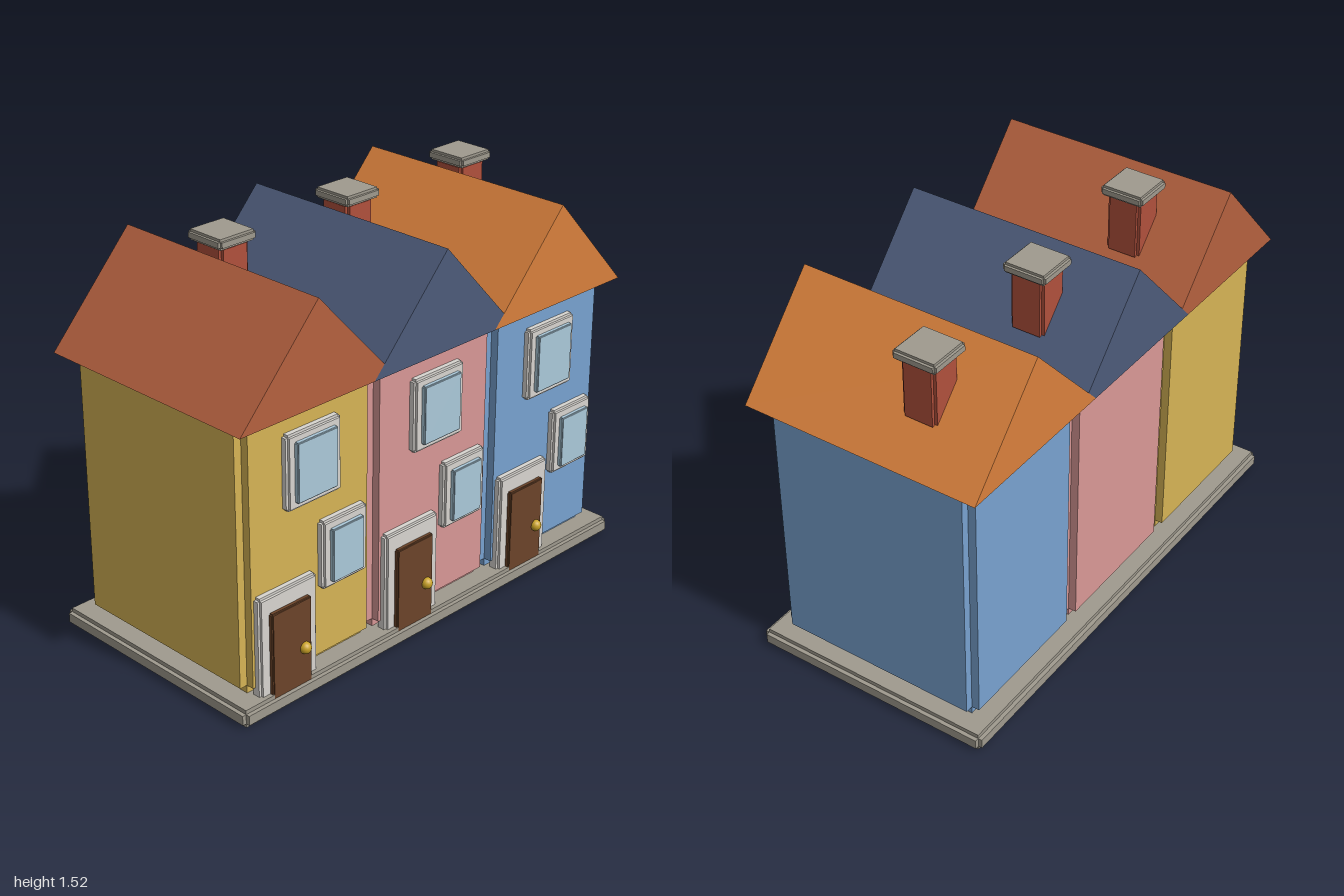
import * as THREE from 'three';
import { mergeGeometries } from 'three/addons/utils/BufferGeometryUtils.js';

const mat = (color) => new THREE.MeshStandardMaterial({ color, flatShading: true });

const stone = mat(0x9f9a8e), brick = mat(0xb0503c), trim = mat(0xd8d5d0);
const glass = mat(0xabc9da), wood = mat(0x6c4429);
const brass = new THREE.MeshStandardMaterial({ color: 0xc9a227 });

// Box with stepped edges: three crossing boxes, each full size along one axis only
function steppedBox(name, material, [x0, x1], [y0, y1], [z0, z1], r) {
  const size = [x1 - x0, y1 - y0, z1 - z0];
  const parts = [0, 1, 2].map((axis) =>
    new THREE.BoxGeometry(...size.map((s, i) => (i === axis ? s : s - 2 * r))));
  const geo = mergeGeometries(parts);
  geo.translate((x0 + x1) / 2, (y0 + y1) / 2, (z0 + z1) / 2);
  const mesh = new THREE.Mesh(geo, material);
  mesh.name = name;
  return mesh;
}

const span = (centre, half) => [centre - half, centre + half];

// Frame with a raised pane
function windowUnit(name, x, half, y, paneHalf, paneY) {
  const g = new THREE.Group();
  g.name = name;
  g.add(
    steppedBox('windowFrame', trim, span(x, half), y, [0.42, 0.461], 0.01),
    steppedBox('windowPane', glass, span(x, paneHalf), paneY, [0.43, 0.478], 0.004));
  return g;
}

function house(name, cx, wallColor, roofColor) {
  const g = new THREE.Group();
  g.name = name;

  g.add(steppedBox('walls', mat(wallColor), span(0, 0.314), [0.07, 1.12], [-0.436, 0.432], 0.032));

  // Gabled roof, ridge running front to back
  const gable = new THREE.Shape();
  gable.moveTo(-0.36, 1.117);
  gable.lineTo(0.36, 1.117);
  gable.lineTo(0, 1.505);
  gable.closePath();
  const roof = new THREE.Mesh(
    new THREE.ExtrudeGeometry(gable, { depth: 0.973, bevelEnabled: false }), mat(roofColor));
  roof.position.z = -0.49;
  roof.name = 'roof';
  g.add(roof);

  // Chimney on the left roof slope
  g.add(
    steppedBox('chimney', brick, span(0.17, 0.068), [1.245, 1.49], span(-0.178, 0.069), 0.012),
    steppedBox('chimneyCap', stone, span(0.17, 0.088), [1.484, 1.525], span(-0.178, 0.089), 0.01));

  // Windows
  g.add(
    windowUnit('upperWindow', 0, 0.129, [0.745, 1.035], 0.096, [0.775, 1.005]),
    windowUnit('lowerWindow', 0.146, 0.11, [0.374, 0.645], 0.077, [0.4, 0.611]));

  // Door with surround and knob
  g.add(
    steppedBox('doorSurround', trim, span(-0.133, 0.138), [0.01, 0.463], [0.41, 0.461], 0.01),
    steppedBox('door', wood, span(-0.133, 0.094), [0.01, 0.395], [0.43, 0.478], 0.005));
  const knob = new THREE.Mesh(new THREE.SphereGeometry(0.023, 16, 12), brass);
  knob.position.set(-0.075, 0.2, 0.481);
  knob.name = 'doorKnob';
  g.add(knob);

  g.position.x = cx;
  return g;
}

export function createModel() {
  const model = new THREE.Group();
  model.name = 'terracedHouses';
  model.add(steppedBox('pavementBase', stone, [-1, 1], [0, 0.07], [-0.502, 0.494], 0.016));
  model.add(
    house('rightHouse', -0.625, 0xd6b455, 0xb5613f),
    house('middleHouse', 0, 0xd99896, 0x4d5b7a),
    house('leftHouse', 0.625, 0x78a2d0, 0xd9803c));
  return model;
}
